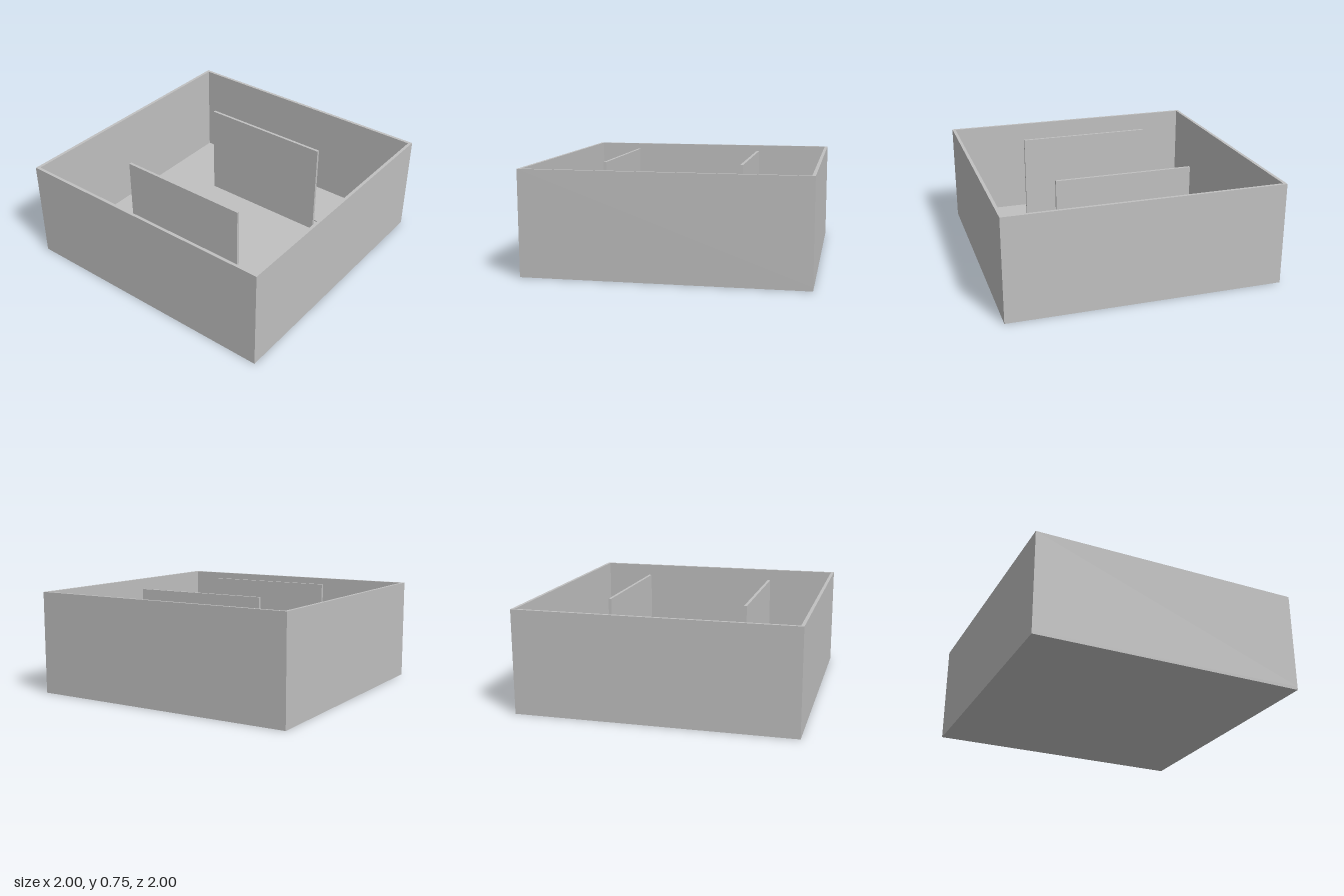
import * as THREE from 'three';

const FLOOR = 0.025, HEIGHT = 0.75, WALL = 0.023;

// Offsets a polyline sideways with mitred corners
function offsetLine(points, d) {
  return points.map((p, i) => {
    const a = points[Math.max(i - 1, 0)], b = points[Math.min(i + 1, points.length - 1)];
    const d1 = p.clone().sub(a).normalize(), d2 = b.clone().sub(p).normalize();
    if (i === 0) d1.copy(d2);
    if (i === points.length - 1) d2.copy(d1);
    const n1 = new THREE.Vector2(-d1.y, d1.x), n2 = new THREE.Vector2(-d2.y, d2.x);
    const miter = n1.clone().add(n2).normalize();
    return p.clone().addScaledVector(miter, d / miter.dot(n1));
  });
}

// Extrudes a plan shape (x, -z) upwards from height y
function extrudeUp(shape, y, height) {
  const geo = new THREE.ExtrudeGeometry(shape, { depth: height, bevelEnabled: false });
  return geo.rotateX(-Math.PI / 2).translate(0, y, 0);
}

function square(Type, r) {
  return new Type([[-r, -r], [r, -r], [r, r], [-r, r]].map(([x, y]) => new THREE.Vector2(x, y)));
}

export function createModel() {
  const group = new THREE.Group();
  const grey = new THREE.MeshStandardMaterial({ color: 0xc0c0c0 });
  grey.name = 'grey';
  const add = (name, geo) => {
    const mesh = new THREE.Mesh(geo, grey);
    mesh.name = name;
    group.add(mesh);
  };

  // Floor slab and open-topped enclosure
  add('floor', new THREE.BoxGeometry(2, FLOOR, 2).translate(0, FLOOR / 2, 0));
  const ring = square(THREE.Shape, 1);
  ring.holes.push(square(THREE.Path, 1 - WALL));
  add('outerWalls', extrudeUp(ring, FLOOR, HEIGHT - FLOOR));

  // Two free-standing partitions
  for (const [name, x] of [['rightPartition', -0.53], ['leftPartition', 0.46]]) {
    const h = HEIGHT - FLOOR;
    add(name, new THREE.BoxGeometry(0.021, h, 1).translate(x, FLOOR + h / 2, 0));
  }

  // Thin raised line on the floor, as x, z points
  const path = [
    [-0.8, -0.013], [-0.795, 0.042], [-0.745, 0.09], [-0.745, 0.14], [-0.695, 0.19],
    [-0.695, 0.24], [-0.645, 0.29], [-0.645, 0.34], [-0.595, 0.39], [-0.595, 0.543],
    [-0.545, 0.591], [0.505, 0.591], [0.555, 0.543], [0.555, 0.29], [0.705, 0.14],
    [0.705, 0.09], [0.742, 0.032],
  ].map(([x, z]) => new THREE.Vector2(x, -z));
  const outline = [...offsetLine(path, -0.005), ...offsetLine(path, 0.005).reverse()];
  add('floorLine', extrudeUp(new THREE.Shape(outline), FLOOR, 0.01));

  return group;
}
